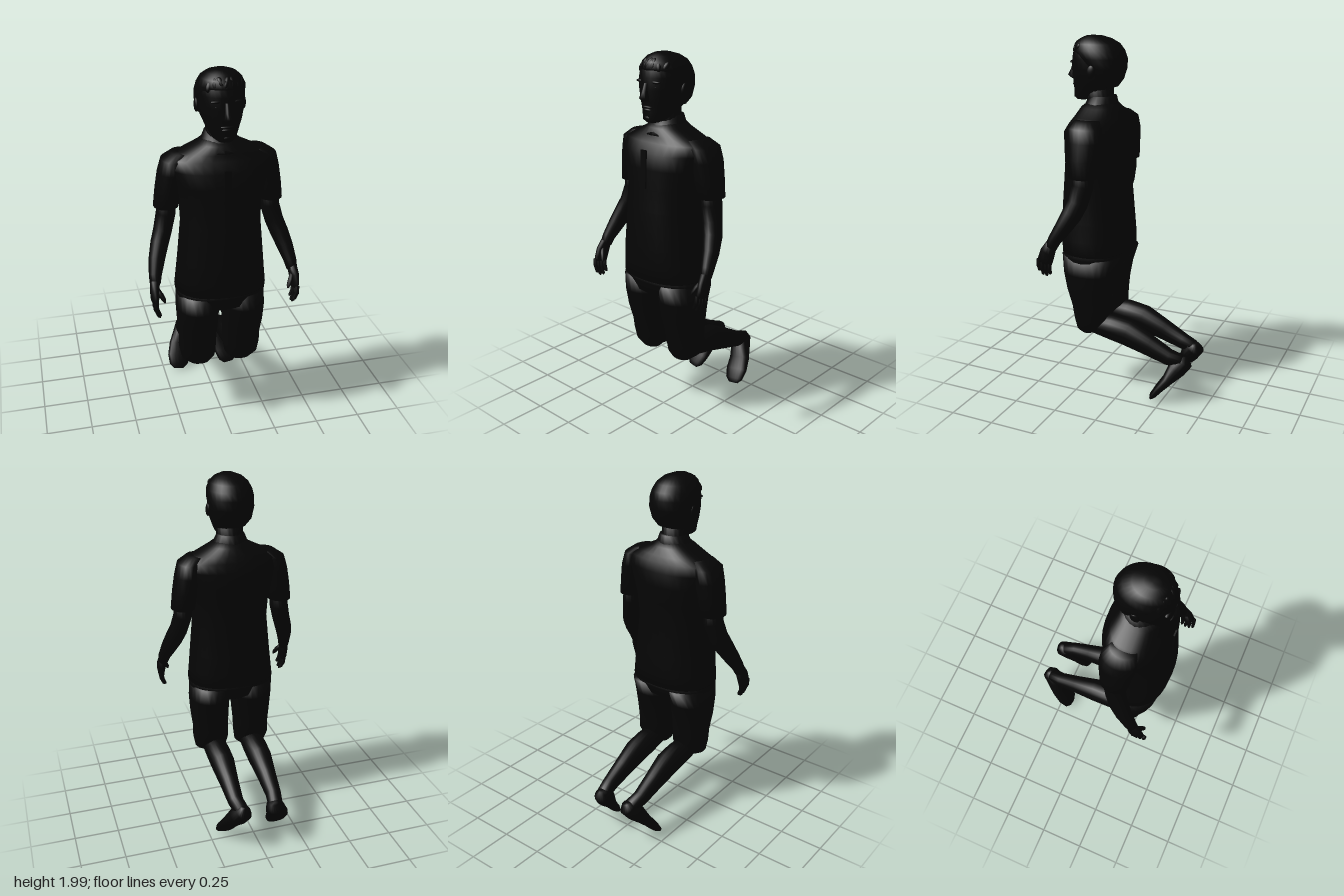
import * as THREE from 'three';

const black = new THREE.MeshStandardMaterial({ color: 0x050505 });
black.name = 'black';

// Skin a tube over sections [x, y, z, halfWidth, halfDepth]; level keeps the rings horizontal.
function loft(sections, { level = false, power = 2, sides = 20 } = {}) {
  const pos = [], idx = [], n = sections.length;
  const centres = sections.map(([x, y, z]) => new THREE.Vector3(x, y, z));
  const round = (v) => Math.sign(v) * Math.abs(v) ** (2 / power);
  centres.forEach((c, i) => {
    const t = centres[Math.min(i + 1, n - 1)].clone().sub(centres[Math.max(i - 1, 0)]);
    if (level) t.set(0, Math.sign(t.y), 0);
    t.normalize();
    const u = new THREE.Vector3(1, 0, 0).addScaledVector(t, -t.x).normalize();
    const v = t.clone().cross(u);
    for (let j = 0; j < sides; j++) {
      const a = (j / sides) * Math.PI * 2;
      const p = c.clone().addScaledVector(u, sections[i][3] * round(Math.cos(a)))
        .addScaledVector(v, sections[i][4] * round(Math.sin(a)));
      pos.push(p.x, p.y, p.z);
    }
  });
  for (let i = 0; i < n - 1; i++) {
    for (let j = 0; j < sides; j++) {
      const a = i * sides + j, b = i * sides + (j + 1) % sides;
      idx.push(a, b, a + sides, b, b + sides, a + sides);
    }
  }
  // End caps
  const first = n * sides, last = (n - 1) * sides;
  pos.push(...centres[0].toArray(), ...centres[n - 1].toArray());
  for (let j = 0; j < sides; j++) {
    const k = (j + 1) % sides;
    idx.push(first, k, j, first + 1, last + j, last + k);
  }
  const g = new THREE.BufferGeometry();
  g.setAttribute('position', new THREE.Float32BufferAttribute(pos, 3));
  g.setIndex(idx);
  g.computeVertexNormals();
  return g;
}

export function createModel() {
  const root = new THREE.Group();
  root.name = 'kneelingMan';
  const add = (name, geometry, parent = root) => {
    const m = new THREE.Mesh(geometry, black);
    m.name = name;
    parent.add(m);
    return m;
  };
  const ball = (name, x, y, z, rx, ry, rz) => {
    const m = add(name, new THREE.SphereGeometry(1, 16, 12));
    m.position.set(x, y, z);
    m.scale.set(rx, ry, rz);
    return m;
  };

  // Shirt, with its loose hem and sloping shoulders
  add('shirt', loft([
    [0, 0.82, 0.205, 0.247, 0.19], [0, 0.9, 0.207, 0.238, 0.193], [0, 1.0, 0.21, 0.228, 0.19],
    [0, 1.2, 0.21, 0.21, 0.176], [0, 1.32, 0.198, 0.215, 0.176], [0, 1.42, 0.192, 0.24, 0.177],
    [0, 1.5, 0.188, 0.265, 0.17], [0, 1.55, 0.18, 0.265, 0.14], [0, 1.58, 0.18, 0.2, 0.126],
    [0, 1.62, 0.185, 0.115, 0.105], [0, 1.65, 0.178, 0.08, 0.075],
  ], { level: true, power: 2.35, sides: 32 }));
  const placket = add('placket', new THREE.BoxGeometry(0.036, 0.2, 0.008));
  placket.position.set(0, 1.42, 0.372);
  placket.rotation.x = -0.05;

  // Neck and open collar
  add('neck', loft([
    [0, 1.56, 0.18, 0.085, 0.08], [0, 1.65, 0.19, 0.072, 0.075], [0, 1.75, 0.2, 0.075, 0.08],
  ], { level: true }));
  add('collar', loft([
    [0, 1.585, 0.2, 0.125, 0.11], [0, 1.625, 0.185, 0.1, 0.095], [0, 1.68, 0.175, 0.076, 0.074],
  ], { level: true }));

  // Head
  add('head', loft([
    [0, 1.655, 0.295, 0.035, 0.035], [0, 1.67, 0.275, 0.058, 0.07], [0, 1.71, 0.235, 0.08, 0.105],
    [0, 1.76, 0.21, 0.101, 0.133], [0, 1.82, 0.2, 0.113, 0.148], [0, 1.88, 0.197, 0.117, 0.147],
    [0, 1.93, 0.2, 0.108, 0.134], [0, 1.97, 0.21, 0.08, 0.1],
  ], { level: true, power: 2.2, sides: 28 }));
  add('hair', loft([
    [0, 1.73, 0.135, 0.07, 0.04], [0, 1.77, 0.14, 0.105, 0.075], [0, 1.83, 0.155, 0.122, 0.112],
    [0, 1.88, 0.178, 0.127, 0.137], [0, 1.92, 0.197, 0.121, 0.143], [0, 1.955, 0.205, 0.103, 0.125],
    [0, 1.98, 0.213, 0.075, 0.088], [0, 1.995, 0.222, 0.035, 0.045],
  ], { level: true, sides: 28 }));
  for (let i = 0; i < 7; i++) {
    const x = -0.075 + i * 0.025;
    const lock = ball('hairLock', x, 1.945 - x * x * 3, 0.315 - x * x * 6, 0.018, 0.035, 0.018);
    lock.rotation.set(-0.5, 0, (i % 3 - 1) * 0.4);
  }

  // Face
  add('nose', loft([
    [0, 1.855, 0.338, 0.012, 0.014], [0, 1.81, 0.35, 0.016, 0.02],
    [0, 1.782, 0.358, 0.024, 0.028], [0, 1.765, 0.346, 0.018, 0.018],
  ], { level: true, sides: 12 }));
  ball('upperLip', 0, 1.735, 0.336, 0.034, 0.008, 0.015);
  ball('lowerLip', 0, 1.72, 0.333, 0.028, 0.009, 0.015);
  ball('chin', 0, 1.678, 0.318, 0.035, 0.022, 0.028);
  for (const s of [-1, 1]) {
    ball('brow', s * 0.047, 1.86, 0.325, 0.034, 0.009, 0.015);
    ball('eye', s * 0.045, 1.835, 0.322, 0.017, 0.01, 0.014);
    ball('ear', s * 0.12, 1.815, 0.19, 0.012, 0.036, 0.024).rotation.x = -0.2;
  }

  // Hips of the shorts
  add('shortsHips', loft([
    [0, 0.9, 0.205, 0.225, 0.175], [0, 0.8, 0.205, 0.245, 0.178], [0, 0.73, 0.21, 0.225, 0.145],
    [0, 0.69, 0.21, 0.12, 0.09],
  ], { level: true, power: 2.4, sides: 28 }));

  for (const s of [-1, 1]) {
    const side = s > 0 ? 'left' : 'right';
    const limb = (name, list, options) =>
      add(side + name, loft(list.map(([x, ...rest]) => [s * x, ...rest]), options));

    // Sleeve and bare arm
    limb('Sleeve', [
      [0.2, 1.575, 0.175, 0.05, 0.07], [0.235, 1.54, 0.17, 0.066, 0.095],
      [0.25, 1.47, 0.165, 0.07, 0.097], [0.265, 1.38, 0.165, 0.07, 0.088],
      [0.28, 1.285, 0.165, 0.066, 0.078],
    ], { level: true });
    limb('Arm', [
      [0.275, 1.34, 0.165, 0.05, 0.06], [0.282, 1.24, 0.165, 0.051, 0.06],
      [0.305, 1.15, 0.185, 0.049, 0.057], [0.327, 1.09, 0.21, 0.048, 0.055],
      [0.35, 1.02, 0.25, 0.043, 0.046], [0.368, 0.95, 0.295, 0.034, 0.036],
      [0.373, 0.91, 0.315, 0.028, 0.034],
    ]);

    // Hand with four fingers and a thumb
    limb('Palm', [
      [0.373, 0.925, 0.312, 0.026, 0.032], [0.38, 0.88, 0.332, 0.025, 0.043],
      [0.382, 0.835, 0.347, 0.021, 0.045], [0.378, 0.815, 0.352, 0.015, 0.04],
    ], { sides: 14 });
    for (let f = 0; f < 4; f++) {
      const z = 0.388 - f * 0.022, y = 0.835 - f * 0.006;
      const drop = [0.075, 0.09, 0.088, 0.068][f];
      limb('Finger', [
        [0.382, y, z, 0.012, 0.012], [0.38, y - drop * 0.5, z + 0.004, 0.012, 0.011],
        [0.366, y - drop * 0.9, z + 0.006, 0.01, 0.009], [0.36, y - drop, z + 0.007, 0.004, 0.004],
      ], { sides: 10 });
    }
    limb('Thumb', [
      [0.373, 0.895, 0.335, 0.015, 0.016], [0.352, 0.865, 0.36, 0.014, 0.014],
      [0.338, 0.84, 0.373, 0.011, 0.011], [0.333, 0.826, 0.378, 0.004, 0.004],
    ], { sides: 10 });

    // Baggy short leg, gathered at the knee
    limb('ShortLeg', [
      [0.12, 0.8, 0.2, 0.118, 0.172], [0.127, 0.7, 0.212, 0.117, 0.148],
      [0.127, 0.6, 0.212, 0.112, 0.128], [0.125, 0.5, 0.202, 0.104, 0.108],
      [0.126, 0.43, 0.197, 0.104, 0.1], [0.124, 0.37, 0.207, 0.094, 0.075],
      [0.118, 0.335, 0.22, 0.055, 0.04],
    ], { level: true, power: 2.2, sides: 24 });

    // Shin stretched out behind
    limb('Shin', [
      [0.117, 0.39, 0.2, 0.066, 0.06], [0.115, 0.375, 0.08, 0.07, 0.073],
      [0.114, 0.357, -0.02, 0.069, 0.077], [0.114, 0.305, -0.15, 0.054, 0.062],
      [0.113, 0.255, -0.27, 0.044, 0.047], [0.1, 0.235, -0.34, 0.042, 0.04],
    ]);

    // Shoe resting on its toe
    limb('Shoe', [
      [0.085, 0.262, -0.36, 0.025, 0.022], [0.092, 0.235, -0.355, 0.047, 0.05],
      [0.11, 0.19, -0.318, 0.055, 0.053], [0.135, 0.13, -0.277, 0.063, 0.034],
      [0.15, 0.075, -0.232, 0.068, 0.026], [0.158, 0.03, -0.2, 0.056, 0.02],
      [0.162, 0.008, -0.187, 0.03, 0.009],
    ], { power: 2.3 });
  }
  return root;
}
